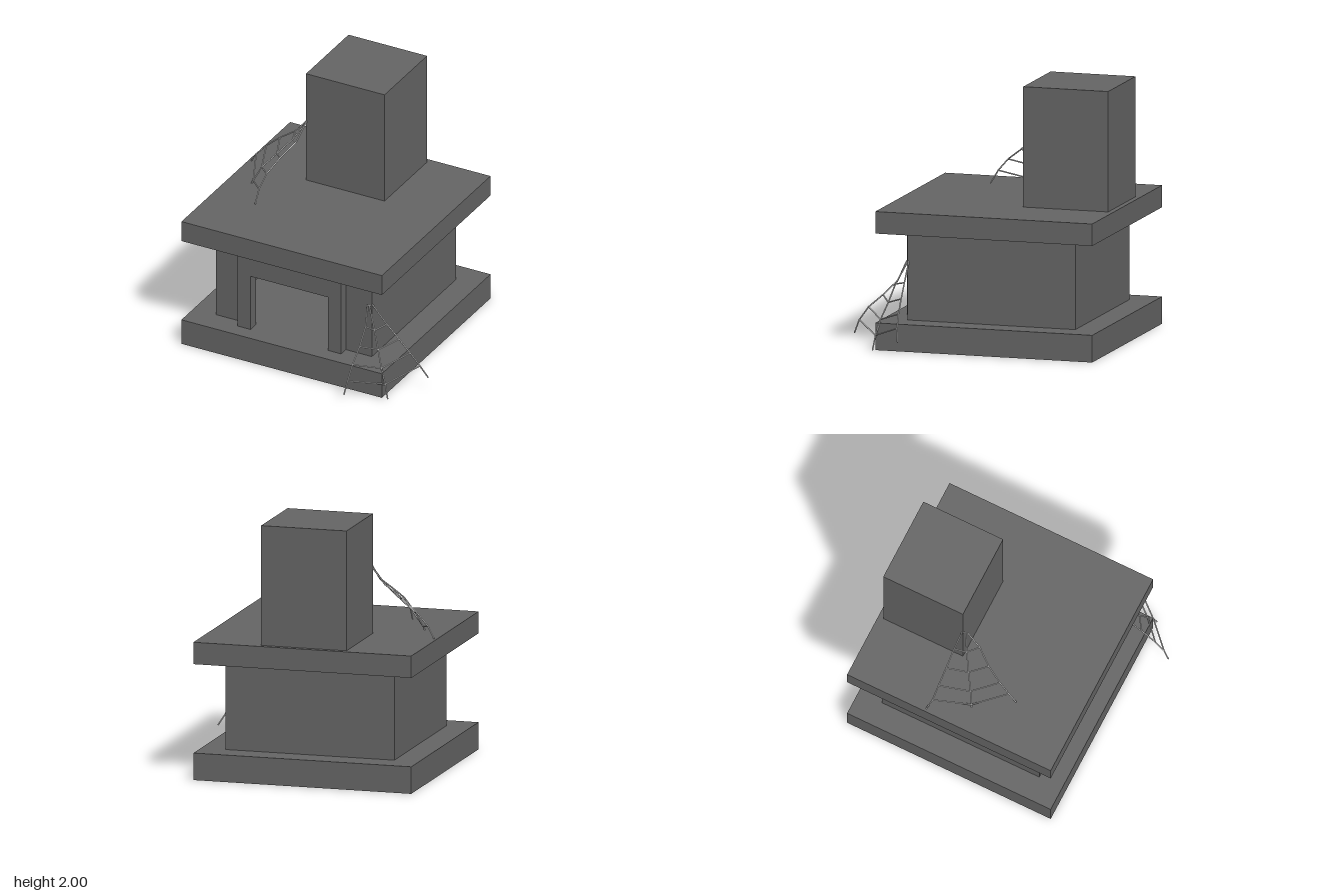
import * as THREE from 'three';

const stone = new THREE.MeshStandardMaterial({ color: 0x646464, flatShading: true, side: THREE.DoubleSide });
const silk = new THREE.MeshStandardMaterial({ color: 0xcccccc });

// Box given by its lower and upper corners
function block(name, x0, x1, y0, y1, z0, z1) {
  const mesh = new THREE.Mesh(new THREE.BoxGeometry(x1 - x0, y1 - y0, z1 - z0), stone);
  mesh.name = name;
  mesh.position.set((x0 + x1) / 2, (y0 + y1) / 2, (z0 + z1) / 2);
  return mesh;
}

// Upright slab with an arch-like notch rising from its bottom edge
function notchedSlab(name, x0, x1, y0, y1, hx0, hx1, hy, z, depth) {
  const points = [[x0, y0], [hx0, y0], [hx0, hy], [hx1, hy], [hx1, y0], [x1, y0], [x1, y1], [x0, y1]];
  const shape = new THREE.Shape(points.map(([x, y]) => new THREE.Vector2(x, y)));
  const mesh = new THREE.Mesh(new THREE.ExtrudeGeometry(shape, { depth, bevelEnabled: false }), stone);
  mesh.name = name;
  mesh.position.z = z;
  return mesh;
}

// Thin straight thread with rounded ends between two points
function thread(name, a, b, radius) {
  const dir = b.clone().sub(a);
  const mesh = new THREE.Mesh(new THREE.CapsuleGeometry(radius, dir.length(), 4, 16), silk);
  mesh.name = name;
  mesh.position.copy(a).add(b).multiplyScalar(0.5);
  mesh.quaternion.setFromUnitVectors(new THREE.Vector3(0, 1, 0), dir.normalize());
  return mesh;
}

// Web: three bent strands, joined by cross threads at every node but the loose ends
function cobweb(name, strands, radius) {
  const web = new THREE.Group();
  web.name = name;
  const lines = strands.map((s) => s.map((p) => new THREE.Vector3(...p)));
  lines.forEach((line, i) => {
    for (let k = 0; k + 1 < line.length; k++) {
      web.add(thread('webStrand', line[k], line[k + 1], radius));
      if (i > 0) web.add(thread('webCrossThread', lines[i - 1][k], line[k], radius));
    }
  });
  return web;
}

export function createModel() {
  const group = new THREE.Group();
  group.name = 'fireplace';

  // Hearth, mantel slab and chimney
  group.add(block('hearthBase', -1, 0.733, 0, 0.21, -0.982, 0.75));
  group.add(block('mantelSlab', -1, 0.733, 0.9, 1.07, -0.982, 0.75));
  group.add(block('chimney', -0.472, 0.207, 1.07, 2, -0.94, -0.262));

  // Hollow firebox with thin walls
  const t = 0.01;
  group.add(block('leftWall', 0.54 - t, 0.54, 0.21, 0.9, -0.785, 0.555 - t));
  group.add(block('rightWall', -0.805, -0.805 + t, 0.21, 0.9, -0.785, 0.555 - t));
  group.add(block('backWall', -0.805 + t, 0.54 - t, 0.21, 0.9, -0.785, -0.785 + t));
  group.add(notchedSlab('frontWall', -0.805, 0.54, 0.21, 0.9, -0.468, 0.203, 0.675, 0.555 - t, t));

  // Raised frame around the opening
  group.add(notchedSlab('openingSurround', -0.58, 0.315, 0.21, 0.835, -0.468, 0.203, 0.675, 0.555, 0.075));

  // Web between chimney corner and mantel slab
  group.add(cobweb('chimneyWeb', [
    [[-0.465, 1.59, -0.27], [-0.575, 1.46, -0.285], [-0.71, 1.365, -0.285], [-0.83, 1.26, -0.29], [-0.92, 1.16, -0.295], [-0.975, 1.075, -0.32]],
    [[-0.46, 1.585, -0.245], [-0.55, 1.44, -0.19], [-0.65, 1.32, -0.125], [-0.745, 1.21, -0.06], [-0.80, 1.095, -0.025], [-0.81, 1.07, -0.02]],
    [[-0.457, 1.59, -0.23], [-0.48, 1.47, -0.115], [-0.555, 1.37, 0], [-0.605, 1.28, 0.12], [-0.625, 1.185, 0.205], [-0.625, 1.085, 0.265]],
  ], 0.0055));

  // Web between firebox corner and hearth
  group.add(cobweb('hearthWeb', [
    [[0.512, 0.66, 0.57], [0.53, 0.51, 0.635], [0.54, 0.395, 0.75], [0.54, 0.295, 0.865], [0.54, 0.19, 0.94], [0.53, 0.09, 0.98]],
    [[0.52, 0.655, 0.56], [0.604, 0.495, 0.63], [0.657, 0.36, 0.67], [0.71, 0.235, 0.715], [0.757, 0.12, 0.74], [0.785, 0.01, 0.755]],
    [[0.54, 0.66, 0.545], [0.662, 0.52, 0.54], [0.765, 0.413, 0.533], [0.856, 0.312, 0.525], [0.933, 0.215, 0.513], [0.99, 0.12, 0.49]],
  ], 0.0055));

  return group;
}
